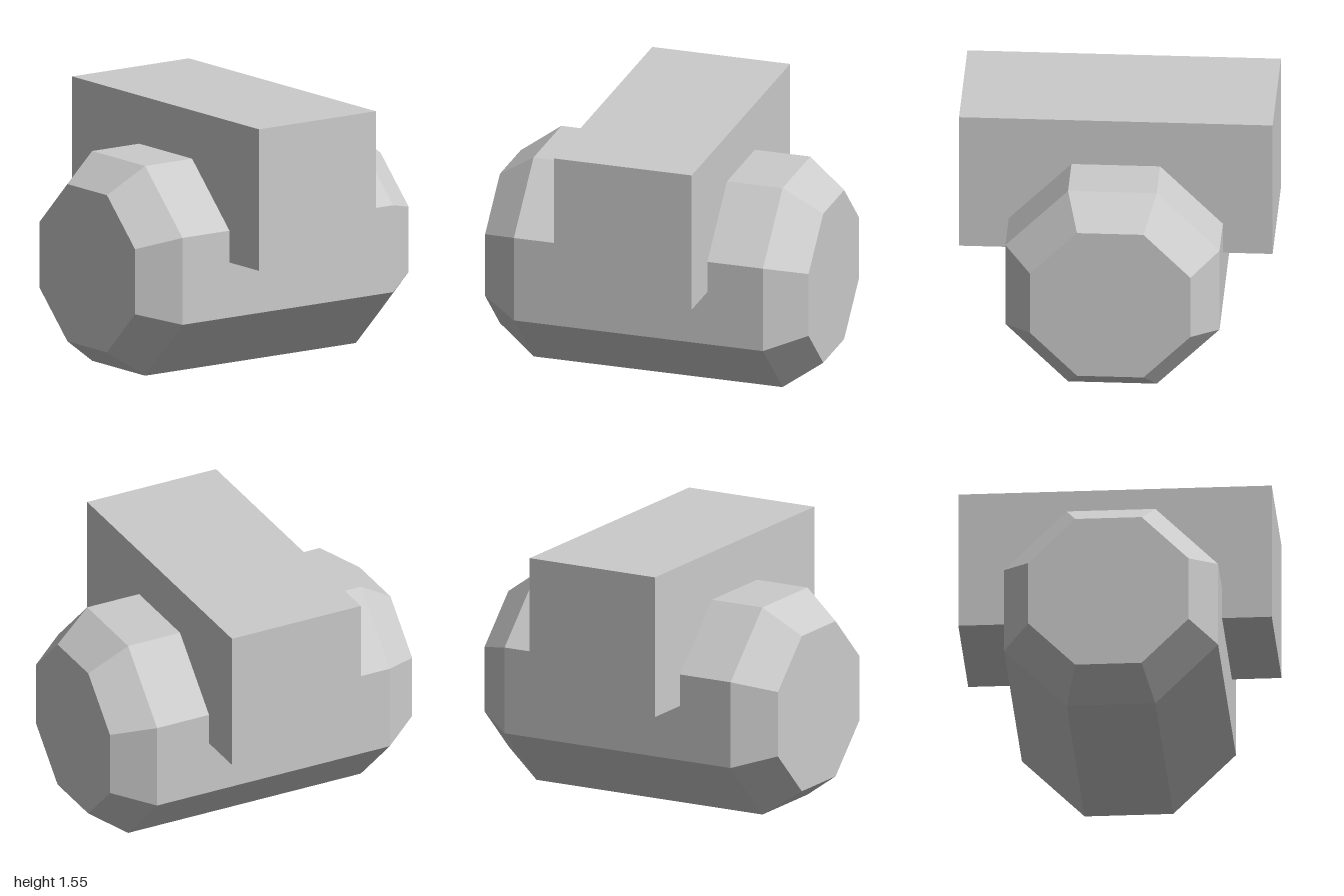
import * as THREE from 'three';

export function createModel() {
  const group = new THREE.Group();
  const material = new THREE.MeshStandardMaterial({ color: 0xcccccc, flatShading: true });

  // Octagonal barrel along z with chamfered ends; radii given to the flats
  const toCorner = 1 / Math.cos(Math.PI / 8);
  const flat = 0.63, endFlat = 0.472, shoulder = 0.77;
  const profile = [[0, -1], [endFlat, -1], [flat, -shoulder], [flat, shoulder], [endFlat, 1], [0, 1]]
    .map(([r, y]) => new THREE.Vector2(r * toCorner, y));
  const barrel = new THREE.Mesh(new THREE.LatheGeometry(profile, 8, Math.PI / 8), material);
  barrel.name = 'barrel';
  barrel.rotation.x = Math.PI / 2;
  barrel.position.y = flat;
  group.add(barrel);

  // Crosswise block set into the top of the barrel
  const block = new THREE.Mesh(new THREE.BoxGeometry(1.845, 0.85, 0.853), material);
  block.name = 'crossBlock';
  block.position.y = 1.125;
  group.add(block);

  return group;
}
